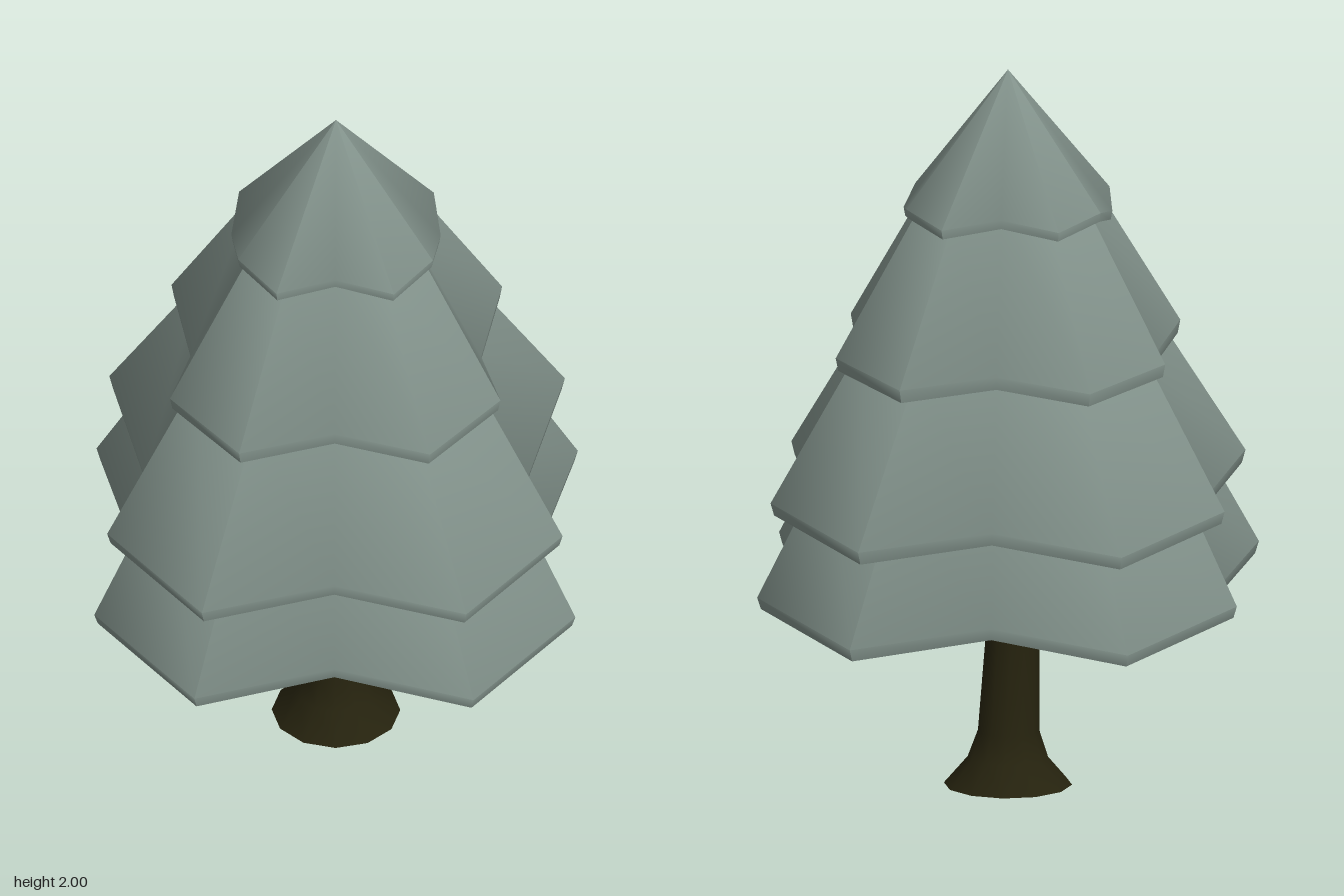
import * as THREE from 'three';
import { toCreasedNormals } from 'three/addons/utils/BufferGeometryUtils.js';

const needles = new THREE.MeshStandardMaterial({ color: 0x82928b });
needles.name = 'greyGreenNeedles';
const bark = new THREE.MeshStandardMaterial({ color: 0x25220e });
bark.name = 'darkBark';

// Each tier: [x, z, y] rim points over one quarter (side notch, side corner,
// front corner, front notch), the tip its sides aim at, and the cut-off scale.
const tiers = [
  { name: 'bottomBoughs', quarter: [[0.54, 0, 0.52], [0.655, 0.38, 0.6], [0.38, 0.66, 0.525], [0, 0.59, 0.575]],
    apex: 1.9, cut: 0.7, lip: 0.033, innerApex: 1.3 },
  { name: 'lowerBoughs', quarter: [[0.52, 0, 0.785], [0.62, 0.36, 0.86], [0.36, 0.625, 0.79], [0, 0.56, 0.835]],
    apex: 1.94, cut: 0.6, lip: 0.035, innerApex: 1.5 },
  { name: 'upperBoughs', quarter: [[0.395, 0, 1.2], [0.45, 0.26, 1.245], [0.26, 0.455, 1.205], [0, 0.405, 1.235]],
    apex: 2.06, cut: 0.5, lip: 0.036, innerApex: 1.75 },
  { name: 'treeTop', quarter: [[0.285, 0, 1.61], [0.265, 0.155, 1.64], [0.16, 0.27, 1.61], [0, 0.24, 1.635]],
    apex: 2, cut: 0, lip: 0.025, innerApex: 1.85 },
];

// Mirror the quarter outline into the full twelve-point star
function fullRim([side, cornerA, cornerB, front]) {
  const flip = ([x, z, y], sx, sz) => [x * sx, z * sz, y];
  return [
    side, cornerA, cornerB, front, flip(cornerB, -1, 1), flip(cornerA, -1, 1),
    flip(side, -1, 1), flip(cornerA, -1, -1), flip(cornerB, -1, -1),
    flip(front, 1, -1), flip(cornerB, 1, -1), flip(cornerA, 1, -1),
  ];
}

// Hollow shell: outer slope, rim, lip, underside, inner slope
function tierGeometry({ quarter, apex, cut, lip, innerApex }) {
  const rim = fullRim(quarter);
  const n = rim.length;
  const ring = (scale, height) =>
    rim.map(([x, z, y]) => new THREE.Vector3(x * scale, height(y), z * scale));
  const rings = [
    ring(cut, (y) => y + (apex - y) * (1 - cut)),
    ring(1, (y) => y),
    ring(0.985, (y) => y - lip),
    ring(0.93, (y) => y - lip),
    ring(0, () => innerApex),
  ];
  const positions = [];
  const triangle = (...corners) => corners.forEach((p) => positions.push(p.x, p.y, p.z));
  for (let j = 0; j < rings.length - 1; j++) {
    for (let i = 0; i < n; i++) {
      const k = (i + 1) % n;
      const a = rings[j][i], b = rings[j + 1][i], c = rings[j + 1][k], d = rings[j][k];
      if (a.distanceTo(d) > 1e-6) triangle(b, a, d);
      if (b.distanceTo(c) > 1e-6) triangle(b, d, c);
    }
  }
  const geometry = new THREE.BufferGeometry();
  geometry.setAttribute('position', new THREE.Float32BufferAttribute(positions, 3));
  return toCreasedNormals(geometry, THREE.MathUtils.degToRad(55));
}

// Flared trunk that leans slightly to one side
function trunkGeometry() {
  const profile = [[0, 0], [0.175, 0], [0.11, 0.075], [0.084, 0.15], [0.068, 0.55], [0.05, 1], [0, 1]]
    .map(([r, y]) => new THREE.Vector2(r, y));
  const geometry = new THREE.LatheGeometry(profile, 12);
  const p = geometry.attributes.position;
  for (let i = 0; i < p.count; i++) {
    p.setX(i, p.getX(i) - 0.04 * Math.max(0, p.getY(i) - 0.1));
  }
  return toCreasedNormals(geometry, THREE.MathUtils.degToRad(45));
}

export function createModel() {
  const tree = new THREE.Group();
  tree.name = 'firTree';
  for (const tier of tiers) {
    const mesh = new THREE.Mesh(tierGeometry(tier), needles);
    mesh.name = tier.name;
    tree.add(mesh);
  }
  const trunk = new THREE.Mesh(trunkGeometry(), bark);
  trunk.name = 'trunk';
  tree.add(trunk);
  return tree;
}
